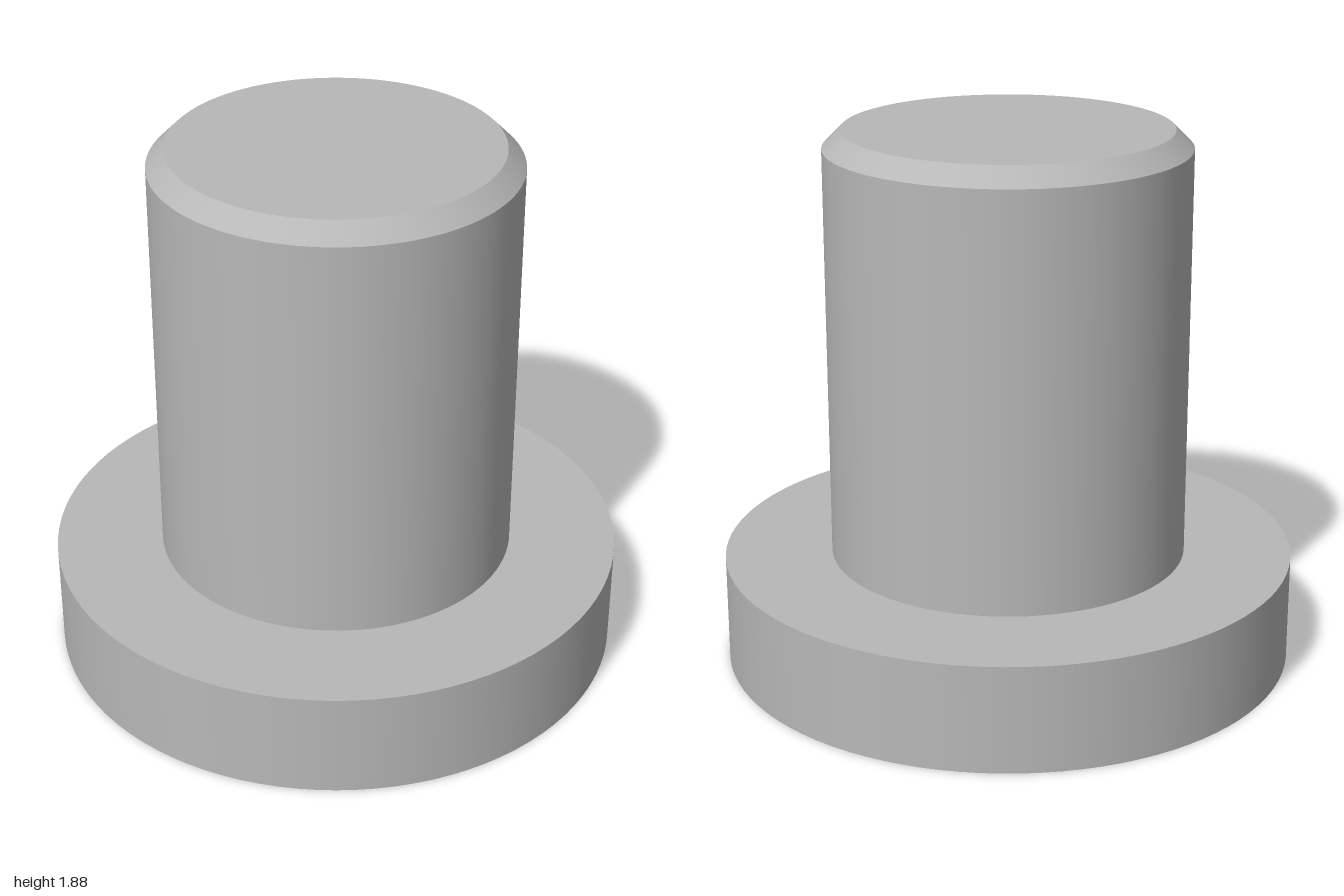
import * as THREE from 'three';

const SEGMENTS = 96;
const FLANGE = { radius: 1, height: 0.375 };
const SHAFT = { radius: 0.625, top: 1.88, chamfer: 0.0625 };

export function createModel() {
  const steel = new THREE.MeshStandardMaterial({ color: 0xb8b8b8 });
  steel.name = 'steel grey';

  const model = new THREE.Group();
  model.name = 'flangedPin';

  const add = (name, geometry, y) => {
    const mesh = new THREE.Mesh(geometry, steel);
    mesh.name = name;
    mesh.position.y = y;
    model.add(mesh);
    return mesh;
  };

  // Vertical cylinder or cone wall between two heights
  const wall = (name, topRadius, bottomRadius, y0, y1) =>
    add(name, new THREE.CylinderGeometry(topRadius, bottomRadius, y1 - y0, SEGMENTS, 1, true), (y0 + y1) / 2);

  // Flat round face at a given height
  const cap = (name, geometry, y, up = true) => {
    add(name, geometry, y).rotation.x = up ? -Math.PI / 2 : Math.PI / 2;
  };

  const shoulder = SHAFT.top - SHAFT.chamfer;
  const tipRadius = SHAFT.radius - SHAFT.chamfer;

  // Wide flange at the foot
  cap('flangeUnderside', new THREE.CircleGeometry(FLANGE.radius, SEGMENTS), 0, false);
  wall('flangeRim', FLANGE.radius, FLANGE.radius, 0, FLANGE.height);
  cap('flangeTop', new THREE.RingGeometry(SHAFT.radius, FLANGE.radius, SEGMENTS), FLANGE.height);

  // Shaft with a chamfered end
  wall('shaft', SHAFT.radius, SHAFT.radius, FLANGE.height, shoulder);
  wall('shaftChamfer', tipRadius, SHAFT.radius, shoulder, SHAFT.top);
  cap('shaftEnd', new THREE.CircleGeometry(tipRadius, SEGMENTS), SHAFT.top);

  return model;
}
